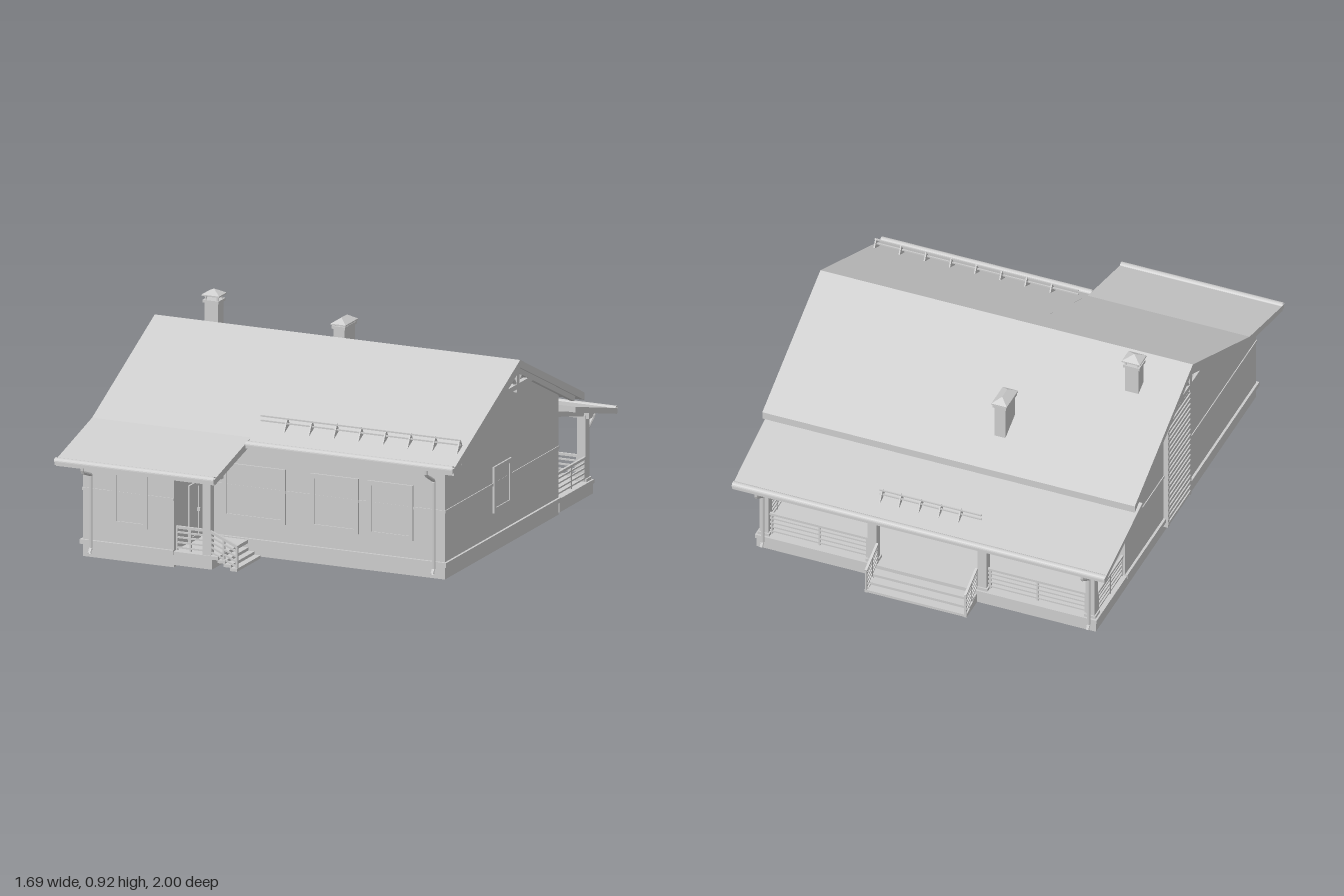
import * as THREE from 'three';

const mat = new THREE.MeshStandardMaterial({ color: 0xcccccc, flatShading: true, side: THREE.DoubleSide });

export function createModel() {
  const house = new THREE.Group();
  house.name = 'house';
  const V = (x, y, z) => new THREE.Vector3(x, y, z);

  const add = (name, geometry, parent = house) => {
    const mesh = new THREE.Mesh(geometry, mat);
    mesh.name = name;
    parent.add(mesh);
    return mesh;
  };
  const group = (name) => {
    const g = new THREE.Group();
    g.name = name;
    house.add(g);
    return g;
  };
  // box given by its limits on each axis
  const box = (name, x0, x1, y0, y1, z0, z1, parent) =>
    add(name, new THREE.BoxGeometry(x1 - x0, y1 - y0, z1 - z0)
      .translate((x0 + x1) / 2, (y0 + y1) / 2, (z0 + z1) / 2), parent);
  // square bar between two points
  const bar = (name, a, b, w, parent) => {
    const mesh = add(name, new THREE.BoxGeometry(w, w, a.distanceTo(b)), parent);
    mesh.position.copy(a).lerp(b, 0.5);
    mesh.lookAt(b);
    return mesh;
  };
  // outline of [z, y] points drawn out from x0 to x1
  const extrudeX = (name, pts, x0, x1, parent) => {
    const shape = new THREE.Shape(pts.map(([z, y]) => new THREE.Vector2(-z, y)));
    const g = new THREE.ExtrudeGeometry(shape, { depth: x1 - x0, bevelEnabled: false });
    return add(name, g.rotateY(Math.PI / 2).translate(x0, 0, 0), parent);
  };

  // walls: a hollow shell, open underneath
  const walls = group('walls');
  extrudeX('rightGableWall', [[0.575, 0], [0.575, 0.53], [0, 0.795], [-0.55, 0.535], [-0.55, 0]], 0.75, 0.765, walls);
  extrudeX('leftGableWall', [[0.88, 0], [0.88, 0.435], [0.62, 0.505], [0, 0.795], [-0.55, 0.535], [-0.55, 0]], -0.765, -0.75, walls);
  box('mainFrontWall', -0.345, 0.765, 0, 0.53, 0.56, 0.575, walls);
  box('backWall', -0.765, 0.765, 0, 0.53, -0.55, -0.535, walls);
  box('wingFrontWall', -0.765, -0.345, 0, 0.435, 0.865, 0.88, walls);
  extrudeX('wingSideWall', [[0.88, 0], [0.88, 0.435], [0.575, 0.515], [0.575, 0]], -0.36, -0.345, walls);

  // plinth ledge and thin belt course
  const trim = group('wallTrim');
  for (const [y0, y1, o] of [[0.055, 0.075, 0.011], [0.288, 0.3, 0.004]]) {
    box('frontTrim', -0.345, 0.765 + o, y0, y1, 0.575, 0.575 + o, trim);
    box('wingTrim', -0.765 - o, -0.345, y0, y1, 0.88, 0.88 + o, trim);
    box('rightTrim', 0.765, 0.765 + o, y0, y1, -0.55, 0.575 + o, trim);
    box('leftTrim', -0.765 - o, -0.765, y0, y1, -0.55, 0.88 + o, trim);
  }

  // windows and doors: built facing +z, then turned into their wall
  const opening = (name, w, h, x, y, z, turn = 0) => {
    const g = group(name);
    const t = 0.02;
    for (const s of [-1, 1]) {
      box('jamb', s * (w - t) / 2 - t / 2, s * (w - t) / 2 + t / 2, -h / 2, h / 2, -0.03, 0.008, g);
      box('rail', -w / 2, w / 2, s * (h - t) / 2 - t / 2, s * (h - t) / 2 + t / 2, -0.03, 0.008, g);
    }
    box('panel', -w / 2 + t, w / 2 - t, -h / 2 + t, h / 2 - t, -0.02, 0.003, g);
    g.position.set(x, y, z);
    g.rotation.y = turn;
    return g;
  };
  opening('wingWindow', 0.165, 0.24, -0.547, 0.272, 0.88);
  opening('wideWindow', 0.29, 0.24, -0.115, 0.272, 0.575);
  opening('frontWindow', 0.222, 0.24, 0.257, 0.272, 0.575);
  opening('frontWindow', 0.21, 0.24, 0.515, 0.272, 0.575);
  opening('sideWindow', 0.175, 0.2, 0.765, 0.27, 0.015, Math.PI / 2);
  const door = opening('frontDoor', 0.115, 0.25, -0.345, 0.195, 0.685, Math.PI / 2);
  box('doorHandle', 0.028, 0.036, -0.005, 0.01, 0, 0.015, door);
  opening('backDoor', 0.17, 0.27, 0, 0.205, -0.55, Math.PI);
  for (const x of [-0.45, 0.45]) opening('backWindow', 0.2, 0.2, x, 0.27, -0.55, Math.PI);

  // slatted panel up the left gable
  const slats = group('slattedPanel');
  for (const z of [-0.12, 0.12]) box('slatPost', -0.785, -0.765, 0.03, 0.71, z - 0.008, z + 0.008, slats);
  for (let i = 0; i < 25; i++) box('slat', -0.787, -0.765, 0.04 + i * 0.027, 0.055 + i * 0.027, -0.12, 0.12, slats);

  // roofs
  const roof = group('roof');
  extrudeX('wingRoof', [[0, 0.82], [0.62, 0.527], [0.98, 0.435], [0.98, 0.408], [0.62, 0.495], [0, 0.787],
    [-0.635, 0.487], [-0.635, 0.52]], -0.845, -0.11, roof);
  extrudeX('mainRoof', [[0, 0.82], [0.655, 0.511], [0.655, 0.48], [0, 0.787], [-0.635, 0.487], [-0.635, 0.52]], -0.11, 0.845, roof);
  extrudeX('porchRoof', [[-0.55, 0.478], [-0.96, 0.37], [-0.96, 0.345], [-0.55, 0.453]], -0.845, 0.845, roof);

  // gable trusses
  for (const x of [-0.825, 0.825]) {
    const t = group('gableTruss');
    bar('collarBeam', V(x, 0.705, -0.18), V(x, 0.705, 0.18), 0.022, t);
    box('kingPost', x - 0.011, x + 0.011, 0.68, 0.8, -0.011, 0.011, t);
    for (const s of [-1, 1]) {
      const curve = new THREE.QuadraticBezierCurve3(V(x, 0.69, 0), V(x, 0.755, s * 0.015), V(x, 0.75, s * 0.085));
      add('curvedBrace', new THREE.TubeGeometry(curve, 8, 0.009, 6), t);
      bar('rafter', V(x, 0.775, 0), V(x, 0.51, s * 0.56), 0.022, t);
    }
  }

  // chimneys with raised hipped caps
  const chimney = (x, z, w, d, y0, bodyTop, top) => {
    const g = group('chimney');
    box('stack', x - w / 2, x + w / 2, y0, bodyTop, z - d / 2, z + d / 2, g);
    box('collar', x - w / 2 - 0.006, x + w / 2 + 0.006, bodyTop - 0.012, bodyTop, z - d / 2 - 0.006, z + d / 2 + 0.006, g);
    for (const sx of [-1, 1]) for (const sz of [-1, 1]) {
      const px = x + sx * (w / 2 - 0.004), pz = z + sz * (d / 2 - 0.004);
      bar('capLeg', V(px, bodyTop, pz), V(px, top - 0.02, pz), 0.006, g);
    }
    box('capRim', x - w / 2 - 0.01, x + w / 2 + 0.01, top - 0.028, top - 0.022, z - d / 2 - 0.01, z + d / 2 + 0.01, g);
    const cap = new THREE.BoxGeometry(w + 0.02, 0.022, d + 0.02);
    const p = cap.attributes.position;
    for (let i = 0; i < p.count; i++) if (p.getY(i) > 0) {
      p.setX(i, 0);
      p.setZ(i, Math.sign(p.getZ(i)) * Math.max(0, d - w) / 2);
    }
    add('cap', cap.translate(x, top - 0.011, z), g);
  };
  chimney(-0.64, -0.148, 0.062, 0.055, 0.72, 0.875, 0.92);
  chimney(-0.173, -0.438, 0.05, 0.105, 0.57, 0.75, 0.782);

  // snow guards: two rails on triangular brackets
  const snowGuard = (x0, x1, xs, y, z, s) => {
    const g = group('snowGuard');
    for (const k of [0, 1]) bar('guardRail', V(x0, y + 0.022 + k * 0.02, z), V(x1, y + 0.022 + k * 0.02, z), 0.006, g);
    for (const x of xs) extrudeX('bracket', [[z + s * 0.03, y - 0.012], [z - s * 0.005, y + 0.048], [z - s * 0.025, y + 0.012]], x - 0.003, x + 0.003, g);
  };
  snowGuard(-0.1, 0.825, [0, 1, 2, 3, 4, 5, 6, 7].map((i) => 0.02 + i * 0.114), 0.562, 0.545, 1);
  snowGuard(-0.237, 0.225, [-0.14, -0.05, 0.04, 0.13, 0.215], 0.4, -0.845, -1);

  // gutters and downpipes
  const gutter = (x0, x1, y, z) =>
    add('gutter', new THREE.CylinderGeometry(0.016, 0.016, x1 - x0, 10, 1, true, Math.PI, Math.PI)
      .rotateZ(Math.PI / 2).rotateX(Math.PI).translate((x0 + x1) / 2, y, z)
      .rotateX(0));
  const lip = (x0, x1, y, z) => box('gutterBoard', x0, x1, y - 0.016, y + 0.004, z - 0.008, z + 0.008);
  for (const [x0, x1, y, z] of [[-0.845, -0.11, 0.43, 0.984], [-0.11, 0.845, 0.508, 0.665], [-0.845, 0.845, 0.365, -0.955]]) {
    gutter(x0, x1, y, z);
    lip(x0, x1, y, z);
  }
  const downpipe = (x, y, zGutter, zWall, drop, out) => {
    const path = new THREE.CurvePath();
    const pts = [V(x, y, zGutter), V(x, y - 0.03, zGutter), V(x, y - drop, zWall), V(x, 0.045, zWall), V(x, 0.025, zWall + out)];
    for (let i = 1; i < pts.length; i++) path.add(new THREE.LineCurve3(pts[i - 1], pts[i]));
    add('downpipe', new THREE.TubeGeometry(path, 60, 0.008, 8));
  };
  downpipe(-0.72, 0.425, 0.984, 0.9, 0.06, 0.015);
  downpipe(0.72, 0.5, 0.665, 0.59, 0.07, 0.015);
  for (const x of [-0.74, 0.74]) downpipe(x, 0.36, -0.955, -0.885, 0.075, -0.015);

  // railing with parallel rails and end posts
  const railing = (a, b, height = 0.1) => {
    const g = group('railing');
    const up = (p, h) => p.clone().setY(p.y + h);
    for (let i = 0; i < 5; i++) {
      const h = 0.012 + i * (height - 0.012) / 4;
      bar('rail', up(a, h), up(b, h), i === 4 ? 0.011 : 0.007, g);
    }
    for (const t of [0.02, 0.5, 0.98]) {
      const p = a.clone().lerp(b, t);
      bar('baluster', p, up(p, height), 0.008, g);
    }
  };

  // back porch
  box('backPorchFloor', -0.77, 0.77, 0.01, 0.06, -0.88, -0.55);
  box('backPorchDeck', -0.775, 0.775, 0.055, 0.072, -0.885, -0.55);
  box('backPorchBeam', -0.775, 0.775, 0.345, 0.378, -0.867, -0.833);
  const postX = [-0.74, -0.25, 0.25, 0.74];
  for (const x of postX) {
    box('backPorchPost', x - 0.02, x + 0.02, 0.07, 0.36, -0.87, -0.83);
    box('postBase', x - 0.026, x + 0.026, 0.07, 0.085, -0.876, -0.824);
    bar('porchRafter', V(x, 0.435, -0.55), V(x, 0.342, -0.93), 0.022);
  }
  for (const s of [-1, 1]) {
    railing(V(s * 0.72, 0.075, -0.85), V(s * 0.27, 0.075, -0.85));
    railing(V(s * 0.755, 0.075, -0.555), V(s * 0.755, 0.075, -0.83));
    railing(V(s * 0.225, 0.075, -0.87), V(s * 0.225, 0.02, -0.995));
  }
  for (let i = 0; i < 3; i++)
    box('backStep', -0.23, 0.23, 0.042 - i * 0.016, 0.054 - i * 0.016, -0.925 - i * 0.036, -0.88 - i * 0.036);
  for (const x of [-0.225, 0.225])
    extrudeX('stepStringer', [[-0.88, 0.055], [-0.997, 0.02], [-0.997, 0.008], [-0.88, 0.008]], x - 0.006, x + 0.006);

  // front porch, entered from the side
  box('frontPorchFloor', -0.345, -0.17, 0.01, 0.06, 0.575, 0.88);
  box('frontPorchDeck', -0.345, -0.14, 0.055, 0.07, 0.575, 0.885);
  box('frontPorchPost', -0.213, -0.177, 0.07, 0.43, 0.845, 0.88);
  box('frontPorchBeam', -0.345, -0.13, 0.405, 0.432, 0.85, 0.876);
  railing(V(-0.34, 0.073, 0.865), V(-0.21, 0.073, 0.865));
  railing(V(-0.18, 0.073, 0.872), V(-0.055, 0.02, 0.872));
  for (let i = 0; i < 3; i++)
    box('frontStep', -0.145 + i * 0.03, -0.11 + i * 0.028, 0.042 - i * 0.014, 0.055 - i * 0.014, 0.645, 0.88);

  return house;
}
